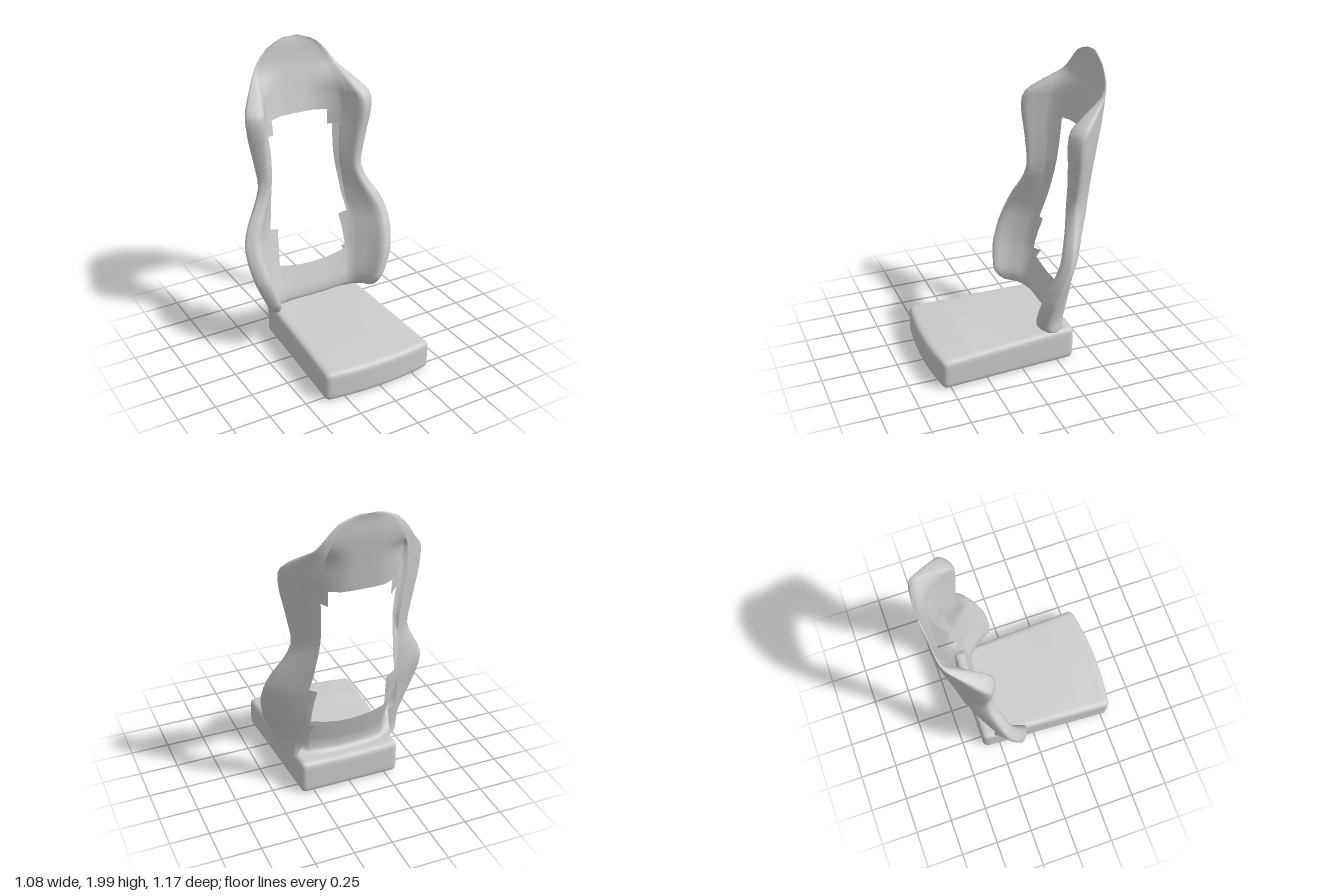
import * as THREE from 'three';
import { mergeVertices } from 'three/addons/utils/BufferGeometryUtils.js';

const { lerp, clamp } = THREE.MathUtils;

// Backrest rows: height, outer x, bolster front z, centre panel z, panel/bolster seam x
const ROWS = [
  [0.235, 0.24, -0.285, -0.30, 0.20],
  [0.245, 0.36, -0.22, -0.28, 0.25],
  [0.265, 0.405, -0.14, -0.27, 0.26],
  [0.31, 0.43, -0.09, -0.272, 0.265],
  [0.36, 0.452, -0.072, -0.285, 0.27],
  [0.48, 0.505, -0.085, -0.318, 0.285],
  [0.55, 0.52, -0.105, -0.332, 0.29],
  [0.66, 0.535, -0.14, -0.358, 0.295],
  [0.79, 0.53, -0.19, -0.39, 0.30],
  [0.9, 0.49, -0.225, -0.418, 0.28],
  [1.0, 0.43, -0.26, -0.442, 0.27],
  [1.12, 0.38, -0.285, -0.463, 0.255],
  [1.25, 0.395, -0.287, -0.482, 0.25],
  [1.42, 0.43, -0.275, -0.503, 0.26],
  [1.5, 0.445, -0.266, -0.512, 0.265],
  [1.6, 0.45, -0.27, -0.53, 0.265],
  [1.66, 0.425, -0.315, -0.54, 0.26],
  [1.75, 0.345, -0.45, -0.556, 0.25],
  [1.8, 0.30, -0.518, -0.565, 0.235],
  [1.87, 0.253, -0.55, -0.575, 0.20],
  [1.95, 0.18, -0.563, -0.578, 0.15],
  [1.99, 0.09, -0.573, -0.585, 0.08],
  [2.0, 0.05, -0.58, -0.587, 0.04],
];
const SUB = 2;      // steps between rows
const WRAP = 16;    // steps around a bolster
const PANEL = 5;    // columns from the centre to the seam

// Half cross-section as [x, z], from the centre round the bolster to its rear edge
function halfSection(y, xo, zf, zc, xB) {
  const depth = zf - zc, s = clamp(depth / 0.25, 0, 1);
  const low = clamp((0.8 - y) / 0.3, 0, 1), foot = clamp((0.48 - y) / 0.24, 0, 1);
  const lift = lerp(0.02, 0.09, clamp((y - 0.5) / 0.8, 0, 1));
  const zB = zc + Math.min(lift, depth * 0.5);
  const xA = xB * lerp(0.77, 0.88, low), zA = lerp(zc, zB, 0.45);
  const xF = xo - 0.09 * s, zO = zf - 0.075 * s;
  const xE = Math.min(xo - 0.01, xB + (0.045 + 0.045 * foot) * low);
  const pts = [[0, zc], [xA * 0.35, zc], [xA * 0.65, zc + (zA - zc) * 0.15], [xA, zA]];
  const bolster = new THREE.SplineCurve([
    [xB, zB],
    [lerp(xB, xF, lerp(0.55, 0.68, low)), lerp(zB, zf, 0.55)],
    [xF, zf],
    [xo - 0.02 * s, zf - 0.028 * s],
    [xo, zO],
    [lerp(xo, xE, 0.5), lerp(zO, zc, 0.58)],
    [xE, zc],
  ].map(([x, z]) => new THREE.Vector2(x, z)));
  for (const p of bolster.getPoints(WRAP)) pts.push([p.x, p.y]);
  // rear skirt, used only low down
  pts.push([Math.min(xE, lerp(0.25, 0.33, foot)), zc - 0.05 * (1 - foot)]);
  return pts;
}

// Shell of the backrest with its stepped central opening
function backrestGeometry() {
  const curveOf = (a, b) => new THREE.CatmullRomCurve3(
    ROWS.map(r => new THREE.Vector3(r[a], r[0], r[b])), false, 'catmullrom', 0.5);
  const outer = curveOf(1, 2), inner = curveOf(4, 3);
  const steps = (ROWS.length - 1) * SUB;
  const position = [], index = [], heights = [];
  let half = 0;
  for (let j = 0; j <= steps; j++) {
    const o = outer.getPoint(j / steps), n = inner.getPoint(j / steps), y = o.y;
    const pts = halfSection(y, o.x, o.z, n.z, n.x);
    half = pts.length - 1;
    heights.push(y);
    for (let i = -half; i <= half; i++) {
      const [x, z] = pts[Math.abs(i)];
      // the lower panel sags towards its middle
      const sag = 0.04 * clamp((y - 0.1) / 0.38, 0, 1) * clamp((0.8 - y) / 0.3, 0, 1);
      // the tabs beside the opening slope down inwards
      const tilt = y > 0.7 && y < 1.45 ? 0.35 * Math.max(0, n.x - x) : 0;
      position.push(Math.sign(i) * x, y + sag * Math.min(1, (x / 0.25) ** 2) - tilt, z);
    }
  }
  const width = 2 * half + 1;
  for (let j = 0; j < steps; j++) {
    const y = (heights[j] + heights[j + 1]) / 2;
    for (let i = 0; i < width - 1; i++) {
      const col = Math.floor(Math.abs(i + 0.5 - half));
      if (col < PANEL - 2 && y > 0.48 && y < 1.5) continue;
      if (col === PANEL - 2 && y > 0.79 && y < 1.42) continue;
      if (col === half - 1 && y > 0.48) continue;
      const a = j * width + i, b = a + 1, c = a + width, d = c + 1;
      index.push(a, b, d, a, d, c);
    }
  }
  const g = new THREE.BufferGeometry();
  g.setAttribute('position', new THREE.Float32BufferAttribute(position, 3));
  g.setIndex(index);
  g.computeVertexNormals();
  return g;
}

// Rounded block: tapered to the rear, bowed at the front, dished on top
function cushionGeometry() {
  const h = new THREE.Vector3(0.38, 0.1, 0.475), r = 0.035;
  let g = new THREE.BoxGeometry(h.x * 2, h.y * 2, h.z * 2, 44, 14, 54);
  g.deleteAttribute('normal');
  g.deleteAttribute('uv');
  g = mergeVertices(g);
  const pos = g.attributes.position, p = new THREE.Vector3();
  const core = h.clone().subScalar(r), low = core.clone().negate();
  for (let i = 0; i < pos.count; i++) {
    p.fromBufferAttribute(pos, i);
    const q = p.clone().clamp(low, core);
    p.sub(q);
    if (p.lengthSq() > 0) p.setLength(r);
    p.add(q);
    const u2 = (p.x / h.x) ** 2, back = (h.z - p.z) / (2 * h.z), up = (p.y + h.y) / (2 * h.y);
    // crowned towards the front, slightly hollow towards the rear
    const crown = 0.02 * Math.min(1, back * 4) * (1 - u2 * (1 - back));
    const hollow = 0.012 * (1 - u2) * back * back;
    const y = 0.008 + up * (0.2 + crown + 0.012 * back - hollow);
    const z = p.z + 0.111 - 0.035 * u2 * clamp(1 - back * 1.6, 0, 1);
    pos.setXYZ(i, p.x * lerp(1.01, 0.88, back), y, z);
  }
  g.computeVertexNormals();
  return g;
}

export function createModel() {
  const group = new THREE.Group();
  group.name = 'bucketSeat';
  const add = (name, geometry, options = {}) => {
    const mesh = new THREE.Mesh(geometry,
      new THREE.MeshStandardMaterial({ color: 0xcccccc, ...options }));
    mesh.name = name;
    group.add(mesh);
  };
  add('seatCushion', cushionGeometry());
  add('backrestShell', backrestGeometry(), { side: THREE.DoubleSide });
  return group;
}
